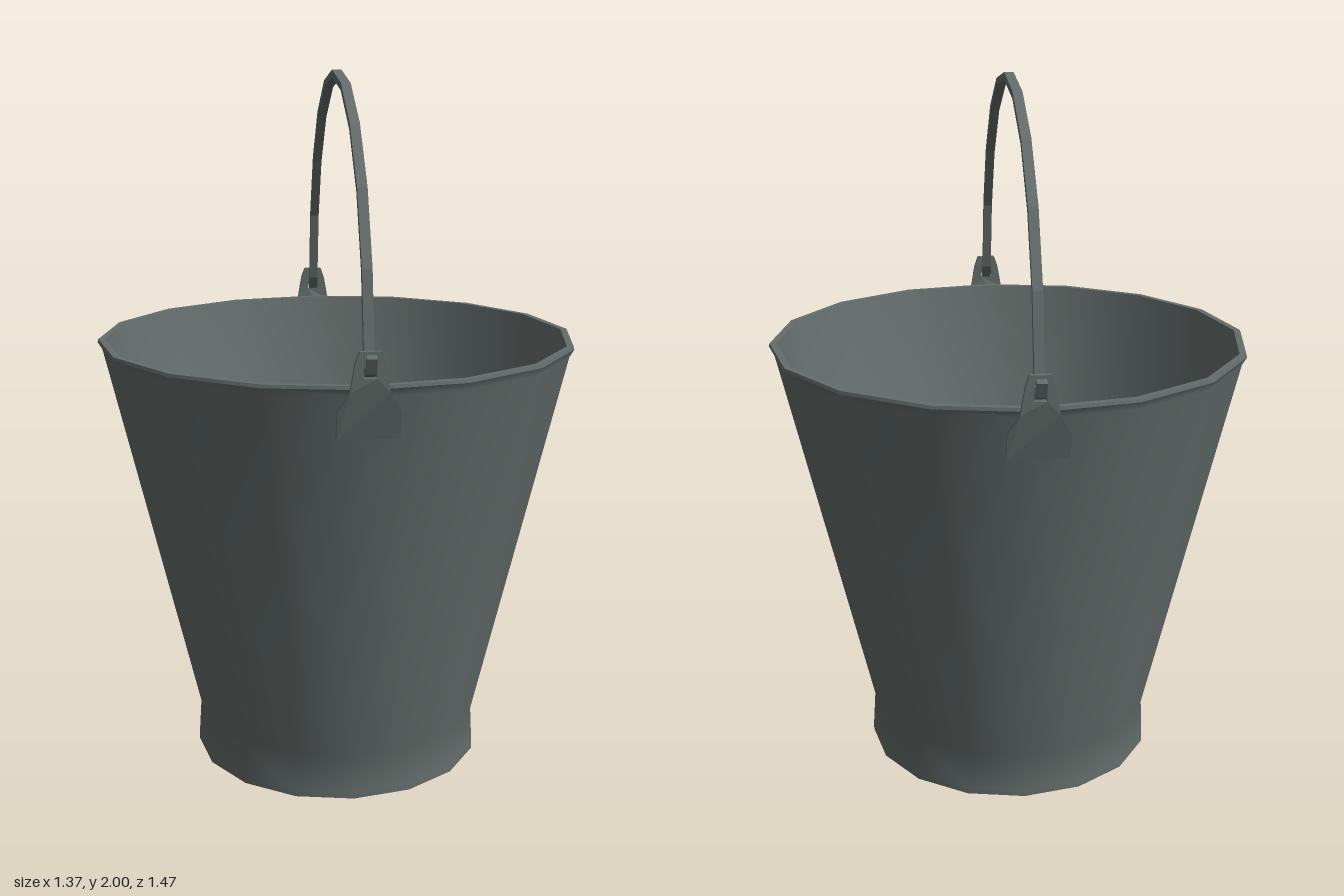
import * as THREE from 'three';

const SIDES = 16;

export function createModel() {
  const group = new THREE.Group();
  const metal = new THREE.MeshStandardMaterial({ color: 0x636d6b });
  metal.name = 'dull grey metal';

  const add = (name, geometry) => {
    const mesh = new THREE.Mesh(geometry, metal);
    mesh.name = name;
    group.add(mesh);
    return mesh;
  };
  const lathe = (name, profile) =>
    add(name, new THREE.LatheGeometry(profile.map(p => new THREE.Vector2(...p)), SIDES));

  // Bucket shell: each smooth stretch is its own lathe so rims stay sharp
  lathe('outerWall', [[0.424, 0], [0.424, 0.02], [0.417, 0.125], [0.672, 1.225], [0.685, 1.247]]);
  lathe('rimBevel', [[0.685, 1.247], [0.683, 1.256]]);
  lathe('rim', [[0.683, 1.256], [0.664, 1.256]]);
  lathe('innerWallAndFloor', [[0.664, 1.256], [0.402, 0.125], [0, 0.125]]);
  lathe('undersideAndSkirt', [[0, 0.105], [0.402, 0.105], [0.412, 0]]);
  lathe('footRim', [[0.412, 0], [0.424, 0]]);

  // Handle: faceted arc in the (z, y) plane with hooked ends, extruded along x
  const path = [[0.727, 1.338], [0.712, 1.3], [0.693, 1.29], [0.673, 1.322]];
  for (let i = 1; i <= 5; i++) {
    const a = (i / 5) * Math.PI / 2;
    path.push([0.66 * Math.cos(a), 1.33 + 0.66 * Math.sin(a)]);
  }
  const half = path.map(p => new THREE.Vector2(...p));
  const mid = half.concat(half.slice(0, -1).reverse().map(p => new THREE.Vector2(-p.x, p.y)));
  const offset = d => mid.map((p, i) => {
    const before = mid[Math.max(i - 1, 0)], after = mid[Math.min(i + 1, mid.length - 1)];
    const t = after.clone().sub(before).normalize();
    return new THREE.Vector2(p.x + t.y * d, p.y - t.x * d);
  });
  const t = 0.01;
  const handleShape = new THREE.Shape(offset(t).concat(offset(-t).reverse()));
  const handle = new THREE.ExtrudeGeometry(handleShape, { depth: 0.026, bevelEnabled: false });
  handle.translate(0, 0, -0.013);
  handle.rotateY(-Math.PI / 2);
  add('handle', handle);

  // Handle brackets: plates with an eye, bent to lie on the sloping wall
  const right = [[0.08, 1.12], [0.08, 1.192], [0.05, 1.245], [0.038, 1.315], [0.027, 1.347]];
  const left = right.map(([x, y]) => [-x, y]).reverse();
  const plate = new THREE.Shape(right.concat(left).map(p => new THREE.Vector2(...p)));
  const eye = new THREE.Path();
  [[-0.016, 1.28], [-0.016, 1.322], [0, 1.332], [0.016, 1.322], [0.016, 1.28]]
    .forEach(([x, y], i) => (i ? eye.lineTo(x, y) : eye.moveTo(x, y)));
  plate.holes.push(eye);
  const bracket = new THREE.ExtrudeGeometry(plate, { depth: 0.014, bevelEnabled: false });
  const pos = bracket.attributes.position;
  for (let i = 0; i < pos.count; i++) {
    const drop = Math.min(pos.getY(i) - 1.245, 0);
    pos.setZ(i, pos.getZ(i) + 0.692 + drop * 0.26);
  }
  bracket.computeVertexNormals();
  add('frontBracket', bracket);
  add('backBracket', bracket).rotation.y = Math.PI;

  return group;
}
